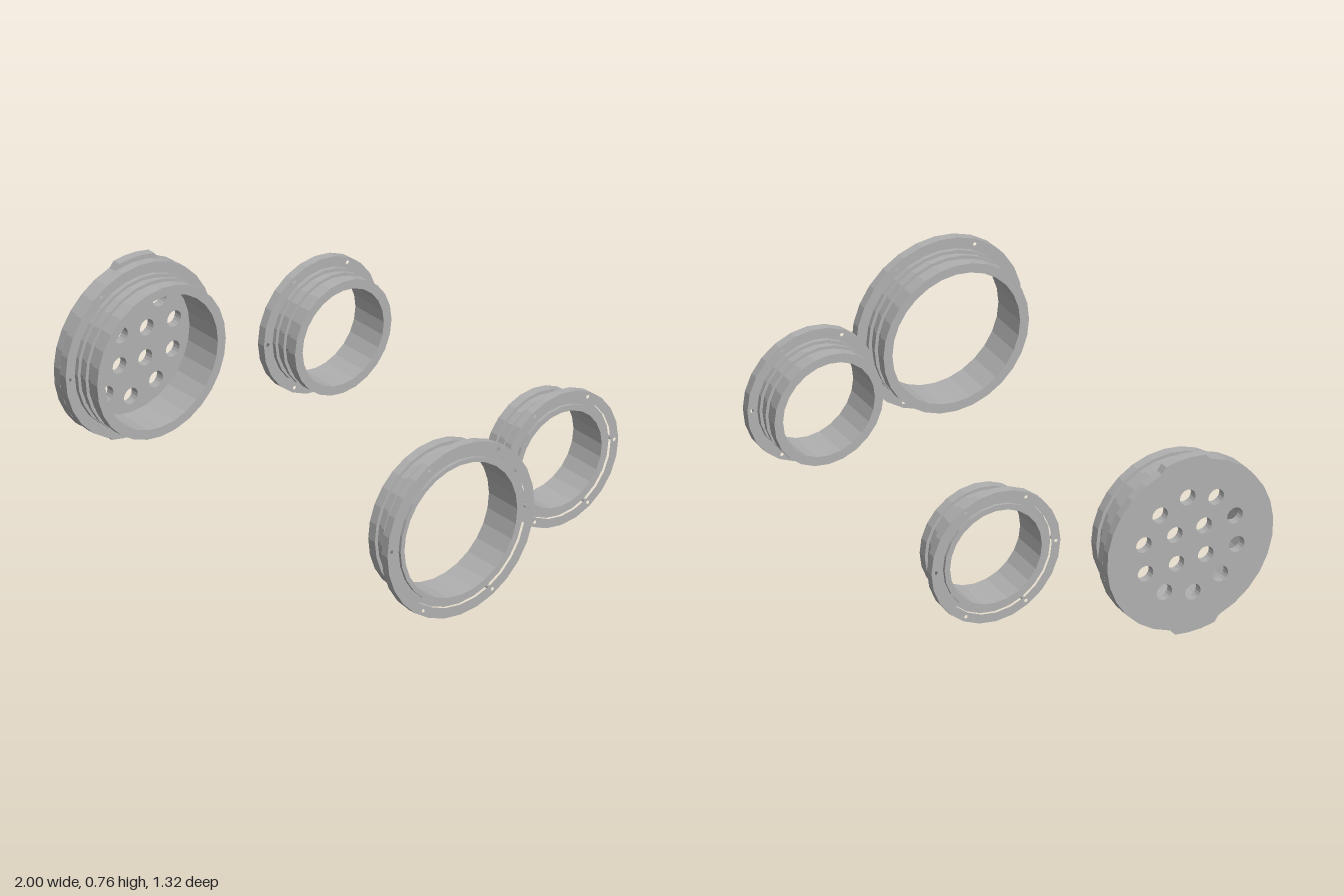
import * as THREE from 'three';

const DEG = Math.PI / 180;
const LENGTH = 0.17, FLANGE = 0.036, GROOVE = 0.012;

// Point at a polar angle, as seen looking along the ring's axis
const polar = (r, deg) => new THREE.Vector2(r * Math.sin(deg * DEG), r * Math.cos(deg * DEG));

const circle = (r, sides, cx = 0, cy = 0) =>
  Array.from({ length: sides }, (_, i) => polar(r, (i * 360) / sides).add(new THREE.Vector2(cx, cy)));

// Flat disc of given outline and holes, lying on y = 0 and rising to y = depth
function slab(outline, holes, depth) {
  const shape = new THREE.Shape(outline);
  holes.forEach((h) => shape.holes.push(new THREE.Path(h)));
  const geo = new THREE.ExtrudeGeometry(shape, { depth, bevelEnabled: false });
  return geo.rotateX(-Math.PI / 2);
}

function addMesh(parent, name, geo, material) {
  const mesh = new THREE.Mesh(geo, material);
  mesh.name = name;
  parent.add(mesh);
  return mesh;
}

// Flanged ring; the flange face is at y = 0 and the grooved sleeve rises along +y
function makeRing(name, s, material) {
  const ring = new THREE.Group();
  ring.name = name;

  // Sleeve with two outer grooves and a seal groove in the flange face
  const profile = [
    [s.bore, LENGTH], [s.bore, 0], [s.sealIn, 0], [s.sealIn, GROOVE],
    [s.sealOut, GROOVE], [s.sealOut, FLANGE],
    [s.body, FLANGE], [s.body, 0.053], [s.neck, 0.053], [s.neck, 0.085],
    [s.body, 0.085], [s.body, 0.1], [s.neck, 0.1], [s.neck, 0.13],
    [s.body, 0.13], [s.body, LENGTH], [s.bore, LENGTH],
  ].map(([r, t]) => new THREE.Vector2(r, t));
  addMesh(ring, 'sleeve', new THREE.LatheGeometry(profile, s.sides), material);

  // Flange with six bolt holes
  const holes = [circle(s.sealOut, s.sides)];
  for (let i = 0; i < 6; i++) {
    const c = polar(s.boltCircle, i * 60 + s.boltTurn);
    holes.push(circle(0.0075, 8, c.x, c.y));
  }
  addMesh(ring, 'flange', slab(circle(s.flange, s.sides), holes, FLANGE), material);
  return ring;
}

// Closing plate with two grip tabs and fourteen round holes
function makeCap(s, material) {
  const outline = [];
  for (const mid of [87, 267]) {
    outline.push(polar(s.flange, mid - 17));
    [-13, -4.5, 4.5, 13].forEach((a) => outline.push(polar(0.381, mid + a)));
    for (let i = 0; i <= 11; i++) outline.push(polar(s.flange, mid + 17 + (i * 146) / 12));
  }
  const half = [
    [0.011, 0.209], [0.131, 0.163], [-0.113, 0.177], [-0.195, 0.074],
    [-0.06, 0.067], [0.067, 0.06], [0.202, 0.053],
  ];
  const holes = [];
  for (const [u, v] of half) {
    for (const k of [1, -1]) holes.push(circle(0.034, 16, -v * k, u * k));
  }
  // Mirror the outline so the tabs lean the same way as the hole pattern
  const turned = outline.map((p) => new THREE.Vector2(-p.x, p.y));
  return slab(turned, holes, FLANGE);
}

export function createModel() {
  const grey = new THREE.MeshStandardMaterial({ color: 0xb0b0b0, flatShading: true });
  grey.name = 'grey metal';

  const large = {
    bore: 0.278, sealIn: 0.297, sealOut: 0.319, body: 0.317, neck: 0.303,
    flange: 0.362, boltCircle: 0.341, boltTurn: -3, sides: 28,
  };
  const small = {
    bore: 0.2, sealIn: 0.224, sealOut: 0.243, body: 0.238, neck: 0.225,
    flange: 0.281, boltCircle: 0.261, boltTurn: 0, sides: 24,
  };

  const model = new THREE.Group();
  model.name = 'flangedRings';

  // Stand a ring on its rim with the flange facing outwards
  const place = (ring, x, y, z) => {
    ring.position.set(x, y, z);
    ring.rotation.z = (Math.sign(x) * Math.PI) / 2;
    model.add(ring);
  };

  place(makeRing('leftLargeRing', large, grey), 1, 0.383, 0.3);
  place(makeRing('leftSmallRing', small, grey), 0.773, 0.37, -0.381);
  place(makeRing('rightSmallRing', small, grey), -0.703, 0.37, -0.381);

  // Right large ring sits on the perforated cap
  const capped = new THREE.Group();
  capped.name = 'cappedLargeRing';
  const ring = makeRing('rightLargeRing', large, grey);
  ring.position.y = FLANGE;
  capped.add(ring);
  addMesh(capped, 'perforatedCap', makeCap(large, grey), grey);
  place(capped, -1, 0.383, 0.3);

  return model;
}
